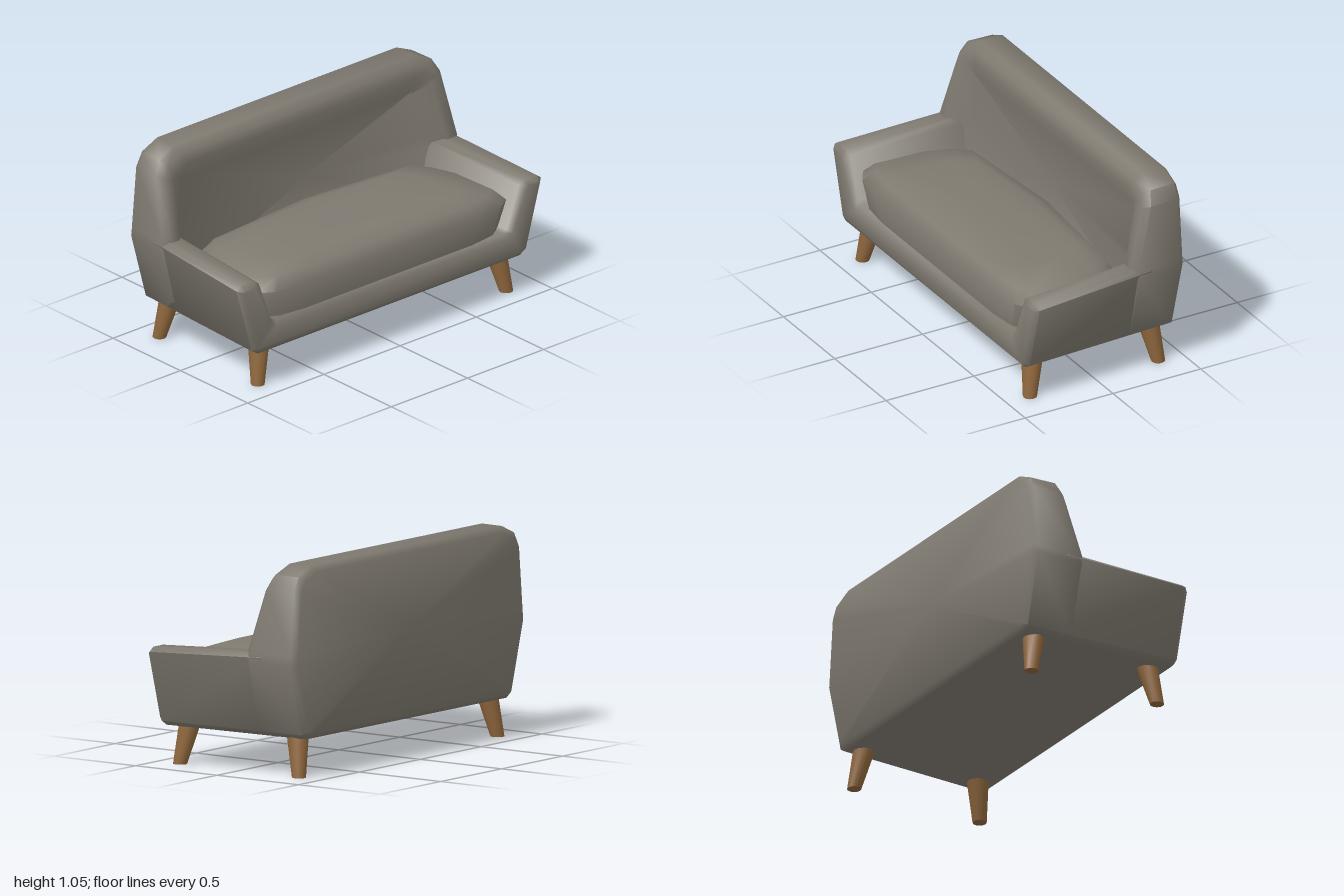
import * as THREE from 'three';
import { toCreasedNormals } from 'three/addons/utils/BufferGeometryUtils.js';

const fabric = new THREE.MeshStandardMaterial({ name: 'greyFabric', color: 0x7f7a70 });
const wood = new THREE.MeshStandardMaterial({ name: 'warmWood', color: 0x8f673d });

// Complete a right-hand half outline with its mirror image.
const mirrored = (half) => [
  ...half,
  ...half.filter((p) => p[0] > 0).reverse().map((p) => [-p[0], ...p.slice(1)]),
];

// Skin a stack of equal-length loops of [x, y, z] and close both ends.
function loft(loops) {
  const n = loops[0].length;
  const positions = [];
  const tri = (a, b, c) => positions.push(...a, ...b, ...c);
  const centre = (loop) => [0, 1, 2].map((k) => loop.reduce((s, p) => s + p[k], 0) / n);
  const first = loops[0], last = loops[loops.length - 1];
  const start = centre(first), end = centre(last);
  for (let j = 0; j < n; j++) {
    const k = (j + 1) % n;
    for (let i = 0; i < loops.length - 1; i++) {
      const lo = loops[i], hi = loops[i + 1];
      tri(lo[j], lo[k], hi[k]);
      tri(lo[j], hi[k], hi[j]);
    }
    tri(start, first[k], first[j]);
    tri(end, last[j], last[k]);
  }
  const g = new THREE.BufferGeometry();
  g.setAttribute('position', new THREE.Float32BufferAttribute(positions, 3));
  return g;
}

// Move every vertex by a rule.
function warp(g, rule) {
  const p = g.attributes.position;
  const v = new THREE.Vector3();
  for (let i = 0; i < p.count; i++) {
    v.fromBufferAttribute(p, i);
    rule(v);
    p.setXYZ(i, v.x, v.y, v.z);
  }
  return g;
}

// The whole shell narrows slightly toward the back.
const narrow = (v) => { v.x *= 1 - 0.045 * (0.44 - v.z) / 0.88; };

function part(name, geometry, material, crease = 1) {
  const mesh = new THREE.Mesh(toCreasedNormals(geometry, crease), material);
  mesh.name = name;
  return mesh;
}

// Base and flared arms: one U-shaped section run from front to back.
function baseAndArms() {
  const half = [
    [0.86, 0.195], [0.9, 0.22], [1.0, 0.575], [0.97, 0.597],
    [0.89, 0.597], [0.855, 0.575], [0.775, 0.36], [0.75, 0.345],
  ];
  const shape = new THREE.Shape(mirrored(half).map(([x, y]) => new THREE.Vector2(x, y)));
  const g = new THREE.ExtrudeGeometry(shape, {
    depth: 0.66, bevelThickness: 0.025, bevelSize: 0.025, bevelOffset: -0.025, bevelSegments: 1,
  });
  g.translate(0, 0, -0.245);
  warp(g, (v) => {
    v.y += 0.025 * Math.max(0, (v.y - 0.345) / 0.25) * (0.42 - v.z) / 0.56;
    narrow(v);
  });
  return part('baseAndArms', g, fabric);
}

// Backrest: rounded outline with a leaning rim and a shallow dished front.
function backrest() {
  // x, y and the direction in which each point is inset
  const outline = mirrored([
    [0.86, 0.195, 0.5, -1], [0.9, 0.22, 1, -0.5], [1.0, 0.575, 1, 0], [0.995, 0.62, 1, 0],
    [0.965, 0.94, 1, 0.3], [0.925, 1.01, 0.8, 0.8], [0.82, 1.055, 0.5, 1],
  ]);
  const rim = (y) => -0.14 - Math.max(0, y - 0.62) * 0.275;
  const face = (y) => -0.235 - (y - 0.6) * 0.08;
  const loop = (inset, depth) => outline.map(([x, y, nx, ny]) => {
    const py = y - inset * ny;
    return [x - Math.sign(x) * inset * nx, py, depth(py)];
  });
  const g = loft([
    loop(0.03, () => -0.44),
    loop(0, () => -0.415),
    loop(0, (y) => rim(y) - 0.03),
    loop(0.035, rim),
    loop(0.09, rim),
    loop(0.17, face),
  ]);
  return part('backrest', warp(g, narrow), fabric);
}

// Seat cushion: plan outline stacked into a soft crown.
function seatCushion() {
  const plan = mirrored([
    [0, 0.43], [0.58, 0.43], [0.74, 0.41], [0.82, 0.36],
    [0.805, 0.05], [0.76, -0.09], [0.69, -0.19], [0, -0.25],
  ]);
  const layers = [
    [0.335, 0.94, 0.95], [0.49, 1, 1], [0.55, 0.93, 0.88], [0.58, 0.7, 0.65], [0.59, 0.35, 0.3],
  ];
  const g = loft(layers.map(([y, sx, sz]) =>
    plan.map(([x, z]) => [x * sx, y, 0.09 + (z - 0.09) * sz])));
  return part('seatCushion', g, fabric);
}

// Tapered leg, leaning outward toward its foot.
function leg(name, side, end) {
  const g = new THREE.CylinderGeometry(0.056, 0.035, 0.22, 12);
  g.translate(0, 0.11, 0);
  warp(g, (v) => {
    v.x += side * (0.815 - 0.18 * v.y);
    v.z += end * (0.365 - 0.17 * v.y);
  });
  return part(name, g, wood);
}

export function createModel() {
  const sofa = new THREE.Group();
  sofa.name = 'sofa';
  sofa.add(baseAndArms(), backrest(), seatCushion());
  for (const side of [1, -1]) {
    for (const end of [1, -1]) {
      sofa.add(leg((end > 0 ? 'front' : 'back') + (side > 0 ? 'Left' : 'Right') + 'Leg', side, end));
    }
  }
  return sofa;
}
